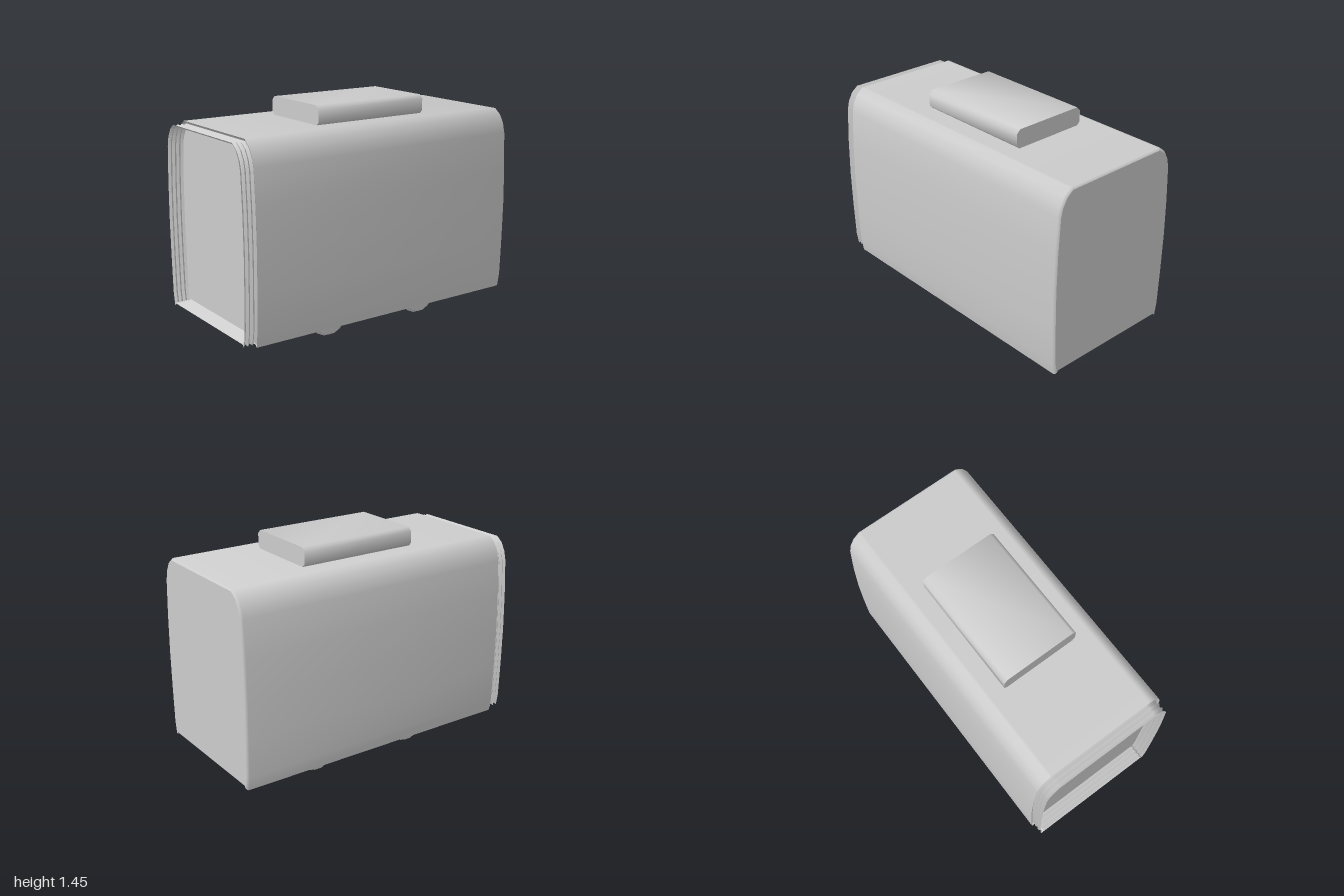
import * as THREE from 'three';
import { toCreasedNormals } from 'three/addons/utils/BufferGeometryUtils.js';

const grey = new THREE.MeshStandardMaterial({ color: 0xcccccc });
grey.name = 'light grey';
const greyOpen = new THREE.MeshStandardMaterial({ color: 0xcccccc, side: THREE.DoubleSide });
greyOpen.name = 'light grey';

// Right half of the carriage cross-section, bottom to top; mirrored to a closed loop
const half = [
  [0.425, 0.13], [0.437, 0.13], [0.452, 0.115], [0.466, 0.2], [0.474, 0.45], [0.478, 0.7],
  [0.473, 0.95], [0.46, 1.18], [0.446, 1.24], [0.415, 1.295], [0.37, 1.33], [0.355, 1.33],
];
const section = [...half, ...half.map(([x, y]) => [-x, y]).reverse()];

// The cross-section shrunk evenly by an inset
const shrink = (d) => section.map(([x, y]) => [
  x * (1 - d / 0.478), 0.7225 + (y - 0.7225) * (1 - d / 0.6075),
]);

// Skin through [z, inset] rings, ordered front to back
function loft(rings) {
  const pos = [], idx = [], n = section.length;
  rings.forEach(([z, d]) => shrink(d).forEach(([x, y]) => pos.push(x, y, z)));
  for (let r = 0; r < rings.length - 1; r++) {
    for (let i = 0; i < n; i++) {
      const a = r * n + i, b = r * n + (i + 1) % n;
      idx.push(a, a + n, b + n, a, b + n, b);
    }
  }
  const g = new THREE.BufferGeometry();
  g.setAttribute('position', new THREE.Float32BufferAttribute(pos, 3));
  g.setIndex(idx);
  return toCreasedNormals(g, 0.9);
}

const toShape = (pts) => new THREE.Shape(pts.map(([x, y]) => new THREE.Vector2(x, y)));

export function createModel() {
  const model = new THREE.Group();
  const add = (name, geometry, material = grey, parent = model) => {
    const mesh = new THREE.Mesh(geometry, material);
    mesh.name = name;
    parent.add(mesh);
    return mesh;
  };

  // Carriage shell with softly bevelled ends, and its end walls
  add('body', loft([[0.9, 0.02], [0.908, 0.008], [0.922, 0], [-0.985, 0], [-0.996, 0.005], [-1, 0.012]]));
  add('frontWall', new THREE.ShapeGeometry(toShape(shrink(0.02)))).position.z = 0.9;
  const back = add('backWall', new THREE.ShapeGeometry(toShape(shrink(0.012))));
  back.rotation.y = Math.PI;
  back.position.z = -1;

  // Open pleated gangway at the front
  const pleats = [];
  for (let i = 0; i <= 7; i++) pleats.push([1 - i * 0.1 / 7, i % 2 ? 0.027 : 0.015]);
  add('bellows', loft(pleats), greyOpen);

  // Roof unit with chamfered long edges
  const w = 0.26, c = 0.025, y0 = 1.325, y1 = 1.45;
  const roof = new THREE.ExtrudeGeometry(toShape([
    [w - c, y0], [w, y0 + c], [w, y1 - c], [w - c, y1],
    [c - w, y1], [-w, y1 - c], [-w, y0 + c], [c - w, y0],
  ]), { depth: 0.8, bevelEnabled: false });
  add('roofUnit', toCreasedNormals(roof, 0.9)).position.z = -0.45;

  // Wheelsets: axle, inner shaft and two flanged wheels
  const wheelProfile = [
    [0, -0.024], [0.095, -0.024], [0.11, -0.02], [0.115, 0.008],
    [0.125, 0.012], [0.125, 0.018], [0.11, 0.024], [0, 0.024],
  ].map(([r, y]) => new THREE.Vector2(r, y));
  const wheelGeometry = toCreasedNormals(new THREE.LatheGeometry(wheelProfile, 14), 0.9);
  for (const z of [0.31, -0.41]) {
    const set = new THREE.Group();
    set.name = 'wheelset';
    set.position.set(0, 0.125, z);
    add('axle', new THREE.CylinderGeometry(0.01, 0.01, 0.72, 10), grey, set).rotation.z = Math.PI / 2;
    add('shaft', new THREE.CylinderGeometry(0.02, 0.02, 0.56, 10), grey, set).rotation.z = Math.PI / 2;
    for (const s of [-1, 1]) {
      const wheel = add(s > 0 ? 'leftWheel' : 'rightWheel', wheelGeometry, grey, set);
      wheel.position.x = s * 0.302;
      wheel.rotation.z = s * Math.PI / 2;
    }
    model.add(set);
  }
  return model;
}
